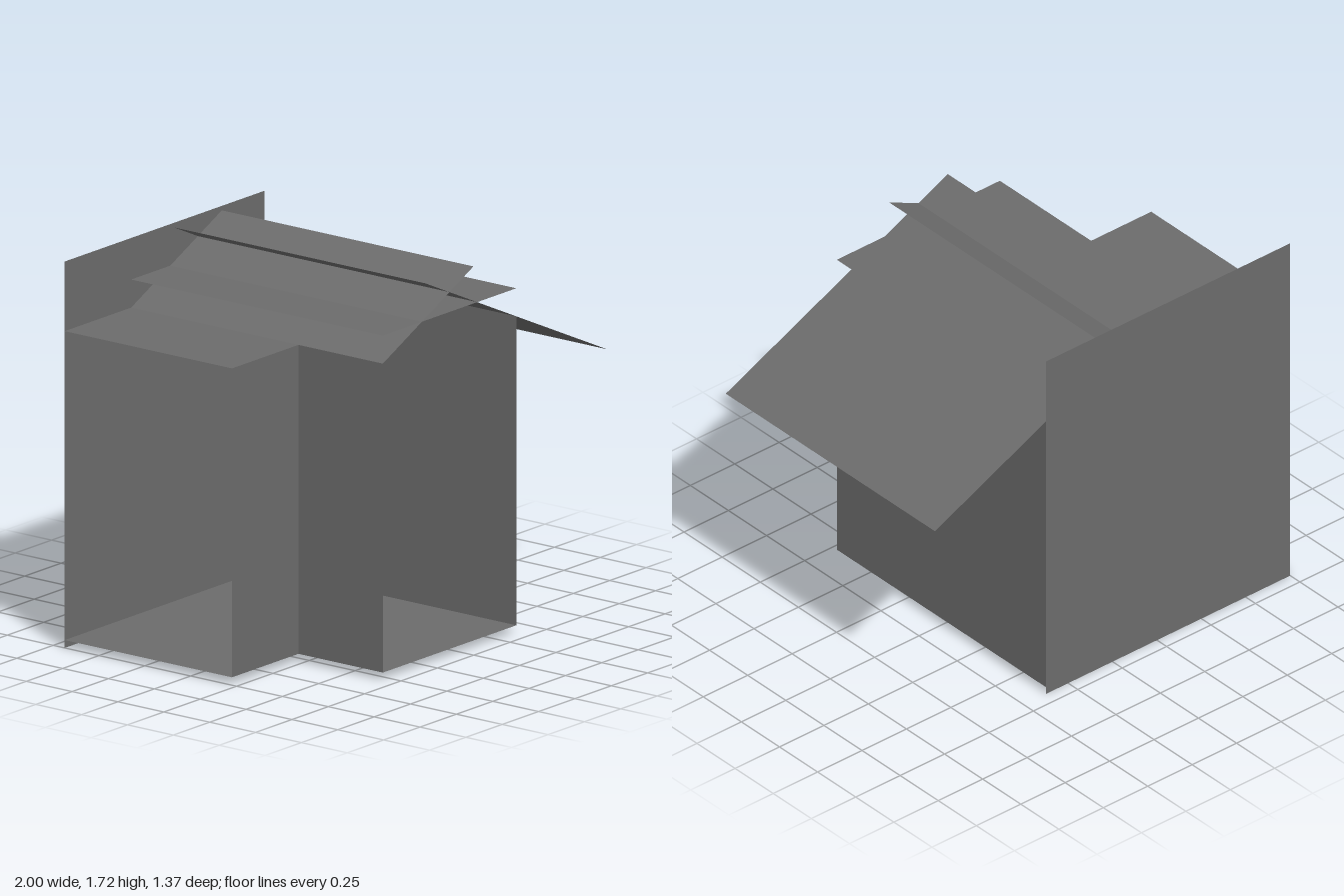
import * as THREE from 'three';

export function createModel() {
  const model = new THREE.Group();
  const grey = new THREE.MeshStandardMaterial({ color: 0x6c6c6c, side: THREE.DoubleSide });
  grey.name = 'grey';

  // Main plan: left annex, step, right wall, and the depth limits
  const L = -1, S = -0.543, R = 0.375;
  const B = -0.687, M = 0.225, F = 0.685;
  const FLOOR = 0.035, EAVE = 1.41;

  const add = (name, geometry) => {
    const mesh = new THREE.Mesh(geometry, grey);
    mesh.name = name;
    model.add(mesh);
    return mesh;
  };

  // Sheet running along z, seen end-on as the line (x0,y0)-(x1,y1)
  const sheet = (name, x0, y0, x1, y1, z0 = B, z1 = F) => {
    const g = new THREE.PlaneGeometry(Math.hypot(x1 - x0, y1 - y0), z1 - z0);
    g.rotateX(-Math.PI / 2).rotateZ(Math.atan2(y1 - y0, x1 - x0));
    add(name, g).position.set((x0 + x1) / 2, (y0 + y1) / 2, (z0 + z1) / 2);
  };

  // Upright panel facing the front
  const panel = (name, x0, x1, y0, y1, z) =>
    add(name, new THREE.PlaneGeometry(x1 - x0, y1 - y0)).position.set((x0 + x1) / 2, (y0 + y1) / 2, z);

  // L-shaped floor (shape y becomes -z)
  const plan = [[L, B], [L, M], [S, M], [S, F], [R, F], [R, B]];
  const floor = new THREE.ShapeGeometry(new THREE.Shape(plan.map(([x, z]) => new THREE.Vector2(x, -z))));
  floor.rotateX(-Math.PI / 2);
  add('floor', floor).position.y = FLOOR;

  // Walls; the front and the annex's outer side stay open
  panel('backWall', L, R, 0, 1.72, B);
  panel('annexFrontWall', L, S, FLOOR, EAVE, M);
  sheet('stepWall', S, EAVE, S, FLOOR, M, F);
  sheet('sideWall', R, EAVE, R, FLOOR);

  // Roof: flat annex top, flat deck and two slopes that cross at the ridge
  sheet('annexRoof', L, EAVE, S, EAVE, B, M);
  sheet('roofDeck', S, 1.535, R, 1.535);
  sheet('shortRoofSlope', S, EAVE, 0.08, 1.7);
  sheet('longRoofSlope', -0.25, 1.7, 1, 1.12);

  return model;
}
